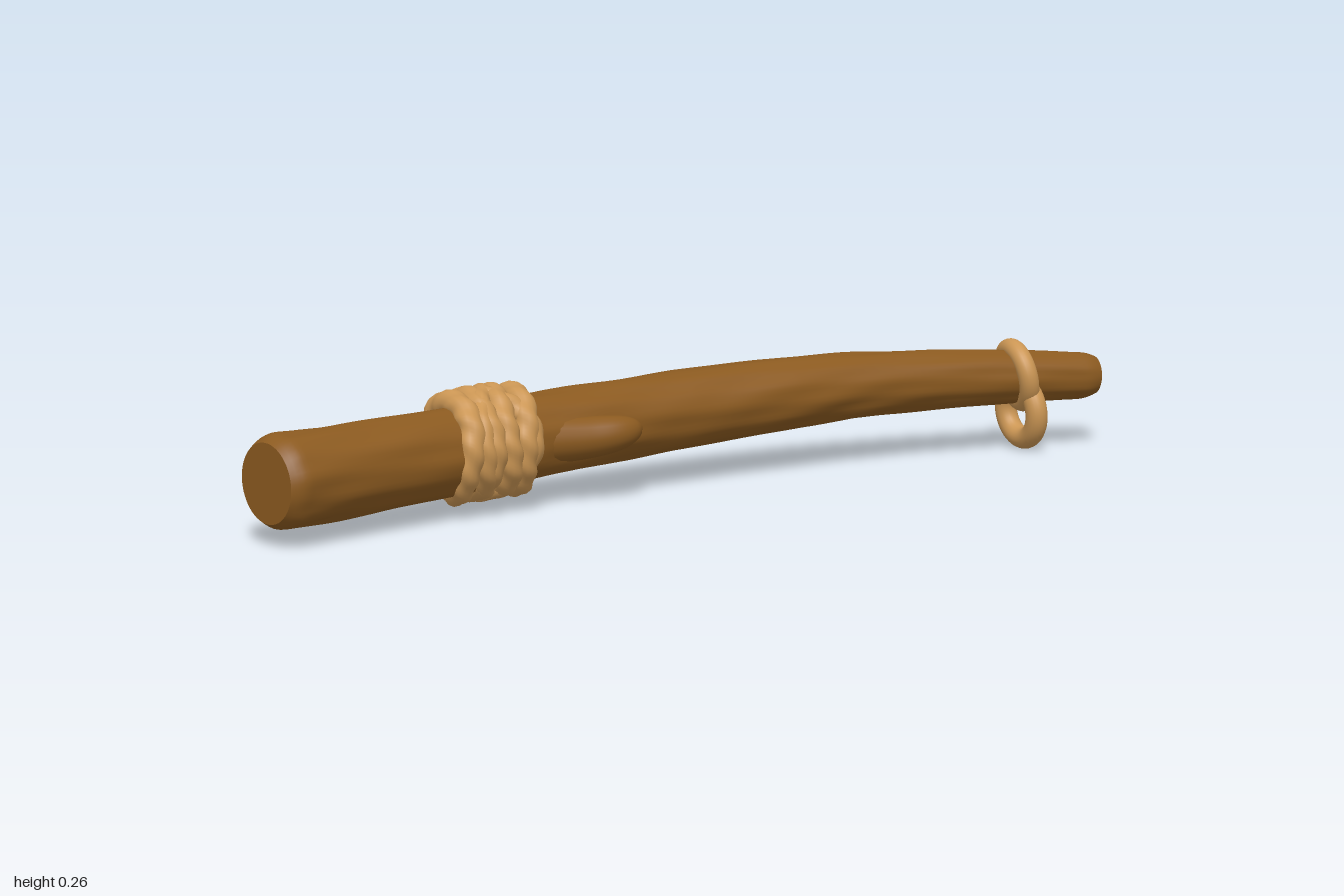
import * as THREE from 'three';

const V = (x, y, z) => new THREE.Vector3(x, y, z);

// Sweeps a round section along a curve; radius(u, angle) shapes the surface.
function sweep(curve, radius, n, m, closed = false) {
  const { normals, binormals } = curve.computeFrenetFrames(n, closed);
  const pos = [], idx = [];
  const rings = closed ? n : n + 1;
  for (let i = 0; i < rings; i++) {
    const p = curve.getPointAt(i / n);
    for (let j = 0; j < m; j++) {
      const a = (j / m) * Math.PI * 2, r = radius(i / n, a);
      const v = p.clone().addScaledVector(normals[i], Math.cos(a) * r).addScaledVector(binormals[i], Math.sin(a) * r);
      pos.push(v.x, v.y, v.z);
    }
  }
  for (let i = 0; i < n; i++) {
    const k = (i + 1) % rings;
    for (let j = 0; j < m; j++) {
      const l = (j + 1) % m;
      idx.push(i * m + j, i * m + l, k * m + j, i * m + l, k * m + l, k * m + j);
    }
  }
  // Flat end caps with their own vertices, so the rims stay crisp
  if (!closed) for (const end of [0, n]) {
    const base = pos.length / 3, c = curve.getPointAt(end / n);
    for (let j = 0; j < m; j++) pos.push(...pos.slice((end * m + j) * 3, (end * m + j) * 3 + 3));
    pos.push(c.x, c.y, c.z);
    for (let j = 0; j < m; j++) {
      const l = (j + 1) % m;
      if (end) idx.push(base + m, base + j, base + l);
      else idx.push(base + m, base + l, base + j);
    }
  }
  const g = new THREE.BufferGeometry();
  g.setAttribute('position', new THREE.Float32BufferAttribute(pos, 3));
  g.setIndex(idx);
  g.computeVertexNormals();
  return g;
}

export function createModel() {
  const group = new THREE.Group();
  const wood = new THREE.MeshStandardMaterial({ color: 0x8b5a20 });
  wood.name = 'wood';
  const rope = new THREE.MeshStandardMaterial({ color: 0xcb9654 });
  rope.name = 'rope';
  const add = (name, geo, mat) => {
    const mesh = new THREE.Mesh(geo, mat);
    mesh.name = name;
    group.add(mesh);
    return mesh;
  };

  // Curved, tapering stick with shallow bark ridges and softened ends
  const path = new THREE.CatmullRomCurve3([
    V(-0.995, 0.125, -0.163), V(-0.75, 0.127, -0.16), V(-0.5, 0.132, -0.15), V(-0.25, 0.142, -0.132),
    V(0, 0.152, -0.098), V(0.25, 0.163, -0.043), V(0.5, 0.168, 0.027), V(0.75, 0.163, 0.122), V(0.98, 0.153, 0.215),
  ]);
  const radii = [0.094, 0.09, 0.087, 0.084, 0.082, 0.077, 0.068, 0.06, 0.05];
  const stickRadius = (u, a) => {
    const s = u * 8, i = Math.min(7, Math.floor(s));
    const r = THREE.MathUtils.lerp(radii[i], radii[i + 1], s - i);
    const rim = 1 - Math.min(1, Math.min(u, 1 - u) / 0.018);
    const bark = 0.016 * Math.sin(7 * a + 5 * Math.sin(u * 9))
      + 0.014 * Math.sin(4 * a + 31 * u) * Math.sin(23 * u + a)
      + 0.009 * Math.sin(13 * a - 17 * u);
    return r * (1 + bark * (1 - rim)) * (1 - 0.16 * rim * rim);
  };
  add('stick', sweep(path, stickRadius, 200, 56), wood);

  // Cut-off twig on the front side
  const twig = new THREE.CatmullRomCurve3([
    V(-0.36, 0.135, -0.11), V(-0.27, 0.135, -0.065), V(-0.21, 0.141, -0.035), V(-0.158, 0.148, -0.022),
  ]);
  add('twigStub', sweep(twig, u => (0.052 - 0.018 * u) * Math.sqrt(Math.max(0.02, 1 - Math.pow(u, 7))), 24, 20), wood);

  // Leaning rope coils around the stick, with a slight twist in the strand
  const strand = r => (u, a) => r * (1 + 0.07 * Math.cos(2 * a + u * Math.PI * 24));
  const coil = (x, lean, ry, rz, phase) => {
    const pts = [];
    for (let i = 0; i < 20; i++) {
      const a = (i / 20) * Math.PI * 2, w = 1 + 0.025 * Math.sin(3 * a + phase);
      pts.push(V(x - lean * Math.cos(a) + 0.006 * Math.sin(2 * a + phase),
        0.138 + ry * w * Math.sin(a), -0.153 + (x + 0.47) * 0.06 + rz * w * Math.cos(a)));
    }
    return new THREE.CatmullRomCurve3(pts, true);
  };
  [-0.54, -0.492, -0.446, -0.4].forEach((x, i) =>
    add('ropeCoil' + (i + 1), sweep(coil(x, 0.024, 0.09, 0.084, i * 1.7), strand(0.026), 96, 14, true), rope));
  // Strands crossing over the coils
  add('crossingStrand1', sweep(coil(-0.47, -0.055, 0.094, 0.085, 0.8), strand(0.023), 96, 14, true), rope);
  add('crossingStrand2', sweep(coil(-0.468, 0.07, 0.094, 0.086, 2.4), strand(0.022), 96, 14, true), rope);

  // Loop tied round the thin end and the ring hanging from it
  const ring = (name, R, r, centre, axis) => {
    const mesh = add(name, new THREE.TorusGeometry(R, r, 20, 56), rope);
    mesh.position.copy(centre);
    mesh.quaternion.setFromUnitVectors(V(0, 0, 1), axis.normalize());
  };
  ring('tipLoop', 0.06, 0.022, V(0.803, 0.165, 0.147), V(0.155, 0.035, 0.07));
  ring('hangingRing', 0.061, 0.024, V(0.812, 0.086, 0.153), V(1, 0.08, 0.28));

  return group;
}
